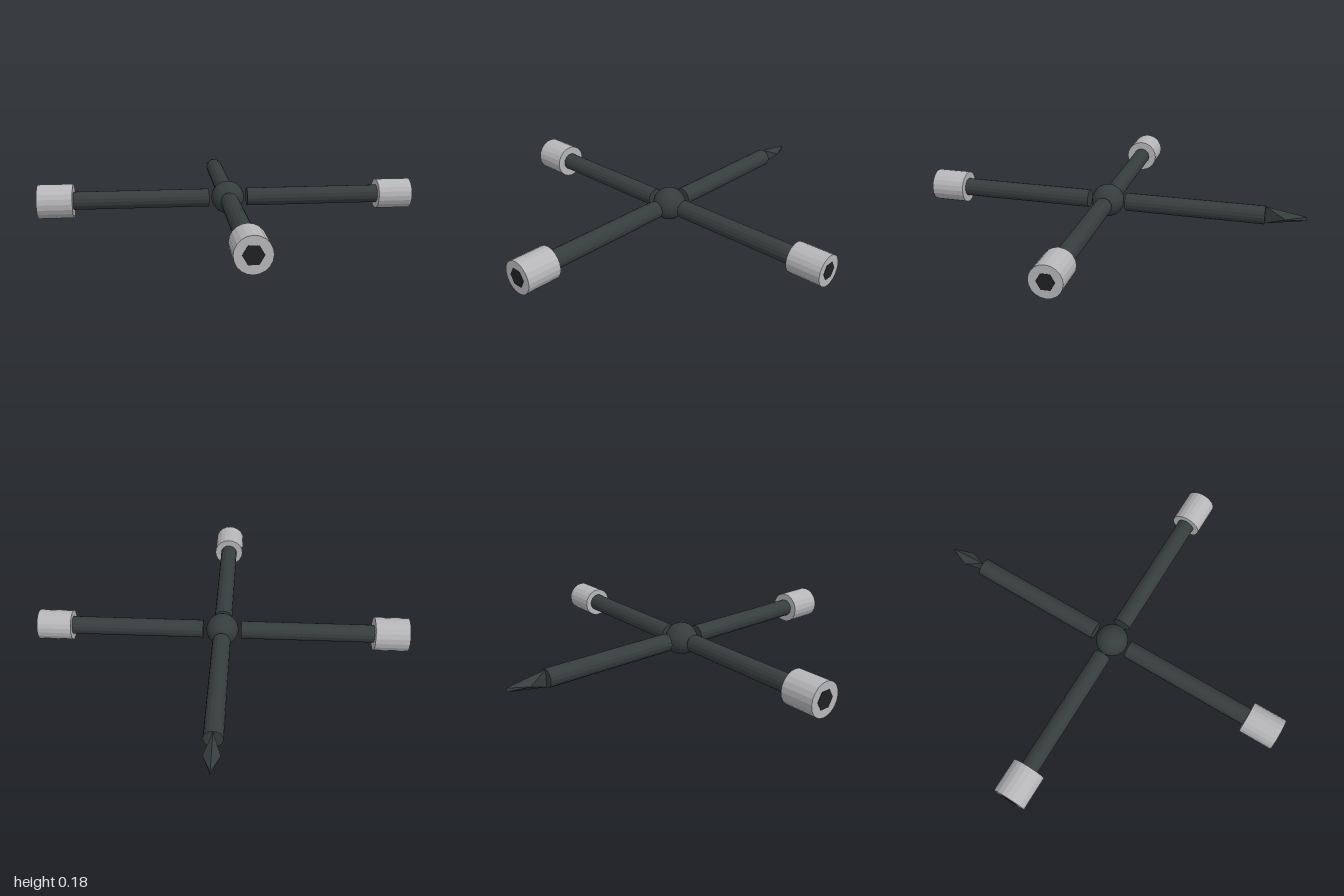
import * as THREE from 'three';
import { ConvexGeometry } from 'three/addons/geometries/ConvexGeometry.js';

const CENTRE_Y = 0.088, CENTRE_Z = 0.02;

function material(name, color) {
  const m = new THREE.MeshStandardMaterial({ color, flatShading: true });
  m.name = name;
  return m;
}

// Cylinder lying along +z, from z0 to z1
function bar(name, radius, z0, z1, sides, mat) {
  const geo = new THREE.CylinderGeometry(radius, radius, z1 - z0, sides);
  geo.rotateY(Math.PI / 2).rotateX(Math.PI / 2).translate(0, 0, (z0 + z1) / 2);
  const mesh = new THREE.Mesh(geo, mat);
  mesh.name = name;
  return mesh;
}

export function createModel() {
  const iron = material('dark iron', 0x363d3d);
  const steel = material('light steel', 0xb6b6b9);
  const black = material('socket black', 0x1e2122);

  const model = new THREE.Group();
  model.name = 'crossWrench';

  // Centre ball
  const hub = new THREE.Mesh(new THREE.SphereGeometry(0.085, 24, 16), iron.clone());
  hub.material.flatShading = false;
  hub.material = iron;
  hub.name = 'hub';
  hub.position.set(0, CENTRE_Y, CENTRE_Z);
  model.add(hub);

  // Four arms: turn about y, rod span, socket radius (0 = pry tip)
  const arms = [
    { name: 'frontArm', turn: 0, start: 0.1, end: 0.81, socket: 0.083, hex: 0.047 },
    { name: 'leftArm', turn: Math.PI / 2, start: 0.1, end: 0.805, socket: 0.078, hex: 0.043 },
    { name: 'rightArm', turn: -Math.PI / 2, start: 0.1, end: 0.805, socket: 0.088, hex: 0.05 },
    { name: 'backArm', turn: Math.PI, start: 0.1, end: 0.817, socket: 0 },
  ];
  for (const a of arms) {
    const arm = new THREE.Group();
    arm.name = a.name;
    arm.position.set(0, CENTRE_Y, CENTRE_Z);
    arm.rotation.y = a.turn;
    arm.add(bar('rod', 0.047, a.start, a.end, 16, iron));

    if (a.socket) {
      // Socket with a dark hexagonal opening in its end
      const z0 = a.turn === 0 ? 0.8 : 0.795;
      const z1 = z0 + 0.178;
      arm.add(bar('socket', a.socket, z0, z1, 20, steel));
      arm.add(bar('hexOpening', a.hex, z1 - 0.004, z1 + 0.002, 6, black));
    } else {
      // Pry tip: upright root edge, broad middle, narrow end
      const v = (x, y, z) => new THREE.Vector3(x, y, z);
      const tip = new THREE.Mesh(new ConvexGeometry([
        v(0, 0.045, 0.817), v(0, -0.045, 0.817),
        v(0.04, 0, 0.918), v(-0.04, 0, 0.918),
        v(0, 0.01, 1.02), v(0, -0.01, 1.02),
      ]), iron);
      tip.name = 'pryTip';
      arm.add(tip);
    }
    model.add(arm);
  }
  return model;
}
